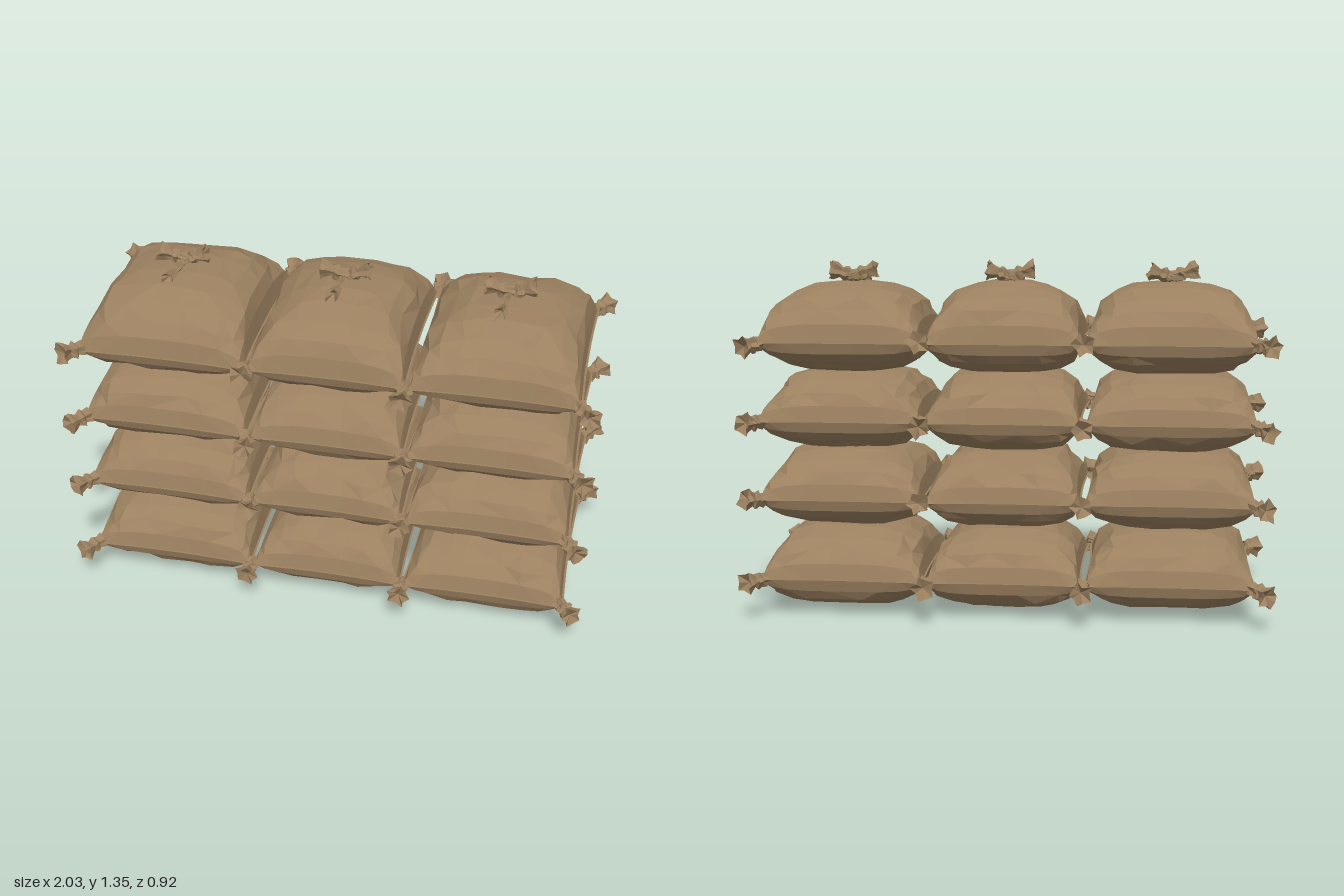
import * as THREE from 'three';

const burlap = new THREE.MeshStandardMaterial({ color: 0x9c8160, side: THREE.DoubleSide });
burlap.name = 'burlap';

// Small repeatable random source
function seeded(seed) {
  let s = (seed * 7919 + 17) % 233280;
  return () => {
    s = (s * 9301 + 49297) % 233280;
    return s / 233280 - 0.5;
  };
}

// Turn loops of points into a faceted surface
function faceted(points, index) {
  const indexed = new THREE.BufferGeometry();
  indexed.setAttribute('position', new THREE.Float32BufferAttribute(points, 3));
  indexed.setIndex(index);
  const g = indexed.toNonIndexed();
  g.computeVertexNormals();
  return g;
}

const HALF = [0.2, 0.45, 0.7, 0.85, 0.94, 0.975, 1];
const STEPS = [...HALF.map((t) => -t).reverse(), ...HALF];
const swell = (t, power) => Math.sqrt(Math.max(0, 1 - Math.pow(Math.abs(t) / 0.975, power)));

// Pillow with a narrow flat seam, swelling by different amounts above and below
function sackGeometry(halfX, halfZ, up, down, seed, gathered) {
  const n = STEPS.length;
  const points = [], index = [];
  for (const side of [1, -1]) {
    const rand = seeded(seed + (side > 0 ? 0 : 50));
    const base = points.length / 3;
    for (let j = 0; j < n; j++) {
      for (let i = 0; i < n; i++) {
        const u = STEPS[i], v = STEPS[j];
        const a = rand(), b = rand(), c = rand();
        const inner = Math.max(Math.abs(u), Math.abs(v)) < 0.9 ? 1 : 0;
        let h = swell(u, 4) * swell(v, 3) * (side > 0 ? up : down);
        h *= 1 - Math.abs(c) * 0.09 * inner;
        // slight gathering beneath the tie
        if (gathered && side > 0) h += 0.012 * Math.max(0, 1 - Math.hypot(u, v) / 0.5);
        // seam edges bow inward between the corners
        const x = u * (halfX - 0.012 * (1 - v * v)) + a * 0.03 * inner;
        const z = v * (halfZ - 0.014 * (1 - u * u)) + b * 0.03 * inner;
        points.push(x, side * h, z);
      }
    }
    for (let j = 0; j < n - 1; j++) {
      for (let i = 0; i < n - 1; i++) {
        const p = base + j * n + i, q = p + 1, r = p + n, s = r + 1;
        const quad = (i + j + seed) % 2 ? [p, r, q, q, r, s] : [p, r, s, p, s, q];
        index.push(...(side > 0 ? quad : quad.reverse()));
      }
    }
  }
  return faceted(points, index);
}

// Crumpled cloth end: pinched neck, knot, then a ragged flare along +y
const TUFT = [[0, 0.03], [0.28, 0.024], [0.38, 0.033], [0.5, 0.031], [0.58, 0.022], [0.85, 0.037], [1, 0.044]];
function tuftGeometry(length, width, seed) {
  const rand = seeded(seed);
  const sides = 10;
  const points = [], index = [];
  TUFT.forEach(([t, radius], k) => {
    for (let i = 0; i < sides; i++) {
      const angle = (i / sides) * Math.PI * 2 + rand() * 0.2;
      const fold = 1 + (i % 2 ? -0.22 : 0.12) + rand() * 0.25;
      const ragged = k === TUFT.length - 1 ? rand() * 0.22 : rand() * 0.06;
      points.push(Math.cos(angle) * radius * fold * width, (t + ragged) * length,
        Math.sin(angle) * radius * fold * width);
    }
  });
  for (let k = 0; k < TUFT.length - 1; k++) {
    for (let i = 0; i < sides; i++) {
      const a = k * sides + i, b = k * sides + ((i + 1) % sides);
      index.push(a, a + sides, b, b, a + sides, b + sides);
    }
  }
  // sunken end
  const last = (TUFT.length - 1) * sides;
  points.push(0, length * 0.8, 0);
  for (let i = 0; i < sides; i++) {
    index.push(last + i, points.length / 3 - 1, last + ((i + 1) % sides));
  }
  return faceted(points, index);
}

function addTuft(parent, name, position, direction, length, width, seed) {
  const mesh = new THREE.Mesh(tuftGeometry(length, width, seed), burlap);
  mesh.name = name;
  mesh.position.set(...position);
  mesh.quaternion.setFromUnitVectors(new THREE.Vector3(0, 1, 0),
    new THREE.Vector3(...direction).normalize());
  parent.add(mesh);
}

export function createModel() {
  const model = new THREE.Group();
  model.name = 'sackStack';
  const edges = [-0.945, -0.29, 0.31, 0.945];
  const seams = [0.145, 0.453, 0.753, 1.05];
  const halfZ = 0.378;

  seams.forEach((y, row) => {
    const top = row === 3;
    const layer = new THREE.Group();
    layer.name = 'sackLayer' + (row + 1);
    model.add(layer);

    // Three sacks side by side
    for (let col = 0; col < 3; col++) {
      const seed = row * 3 + col + 1;
      const up = top ? 0.218 : 0.187;
      const down = row === 0 ? (col === 0 ? 0.135 : 0.146) : 0.131;
      const x = (edges[col] + edges[col + 1]) / 2;
      const sack = new THREE.Mesh(
        sackGeometry((edges[col + 1] - edges[col]) / 2, halfZ, up, down, seed, top), burlap);
      sack.name = 'sack';
      sack.position.set(x, y, 0);
      layer.add(sack);

      // Tie with two loops and a trailing end on the top sacks
      if (top) {
        const tie = new THREE.Group();
        tie.name = 'tie';
        tie.position.set(x, y + up + 0.015, 0);
        layer.add(tie);
        for (const s of [-1, 1]) {
          addTuft(tie, 'tieLoop', [-s * 0.01, 0, 0], [s, 0.28, -0.08 * s], 0.105, 0.85, seed + 90 + s);
        }
        addTuft(tie, 'tieTail', [0, -0.005, 0], [-0.12, -0.03, 1], 0.16, 0.6, seed + 120);
        const knot = new THREE.Mesh(new THREE.DodecahedronGeometry(0.03), burlap);
        knot.name = 'tieKnot';
        knot.scale.set(1.1, 0.7, 1);
        tie.add(knot);
      }
    }

    // Knotted corners, shared where two sacks meet
    edges.forEach((x, i) => {
      const outward = i === 0 ? -1 : i === 3 ? 1 : 0;
      for (const s of [-1, 1]) {
        const seed = 200 + row * 8 + i * 2 + s;
        const rand = seeded(seed);
        addTuft(layer, 'cornerTuft', [x - outward * 0.022, y, s * (halfZ - 0.03)],
          [outward * 0.7 + rand() * 0.2, rand() * 0.35, s], 0.095, 0.95, seed);
      }
    });
  });
  return model;
}
